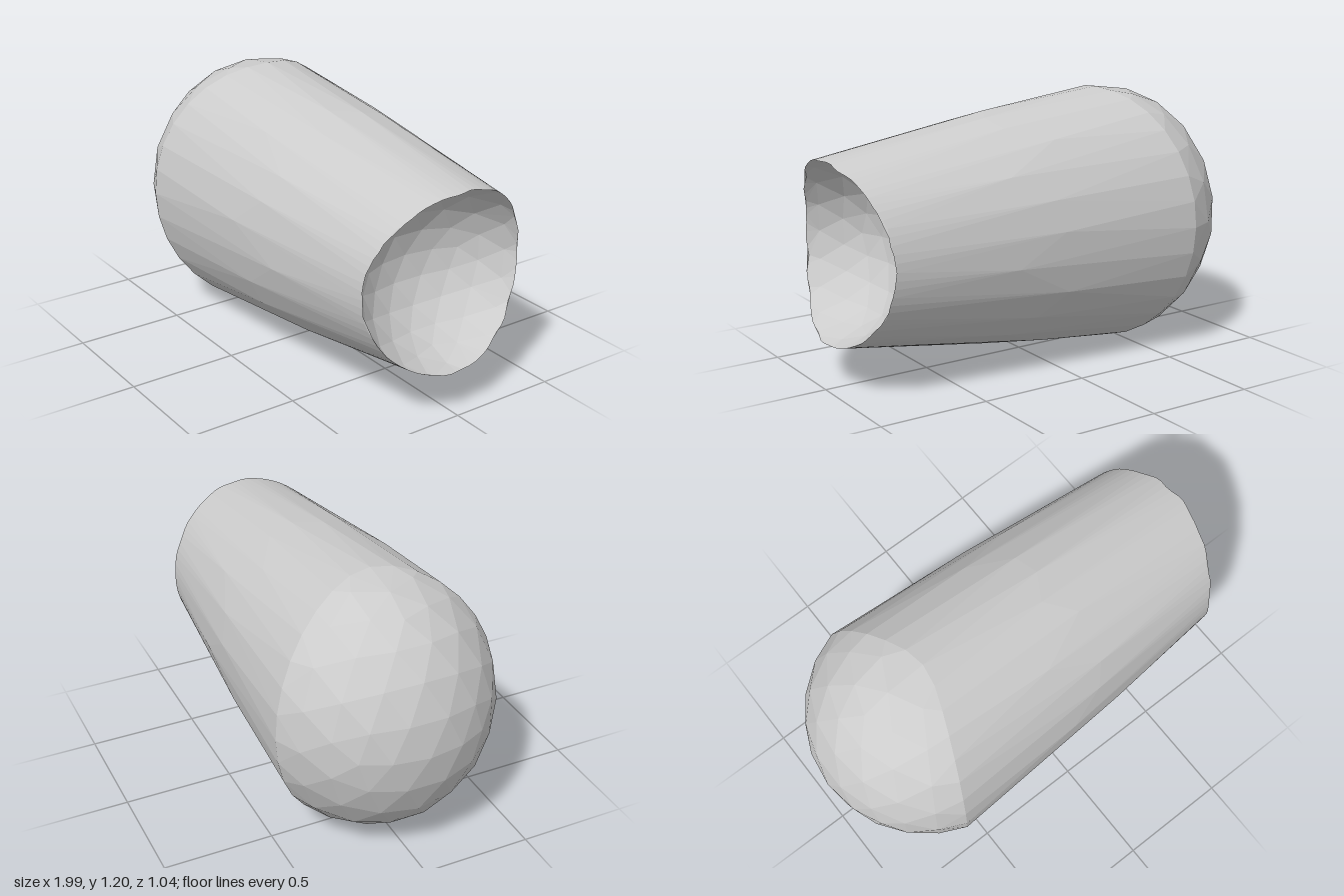
import * as THREE from 'three';
import { ConvexGeometry } from 'three/addons/geometries/ConvexGeometry.js';

const MID = 0.6; // height of the long axis
const DOME = { x: -0.45, r: [0.55, 0.6, 0.547] };
const SCOOP = { x: 1.04, r: [0.42, 0.405, 0.454] };

// Half height and half depth of the gently bowed, tapering wall at x
const wallY = (x) => { const t = 0.99 - x; return 0.4 + 0.1855 * t - 0.0315 * t * t; };
const wallZ = (x) => { const t = 0.87 - x; return 0.415 + 0.105 * t - 0.023 * t * t; };
const wallPoint = (x, a) => new THREE.Vector3(x, wallY(x) * Math.cos(a), wallZ(x) * Math.sin(a));
const insideWall = (p, k) => Math.hypot(p.y / wallY(p.x), p.z / wallZ(p.x)) < k;

const level = (e, p) => ((p.x - e.x) / e.r[0]) ** 2 + (p.y / e.r[1]) ** 2 + (p.z / e.r[2]) ** 2 - 1;

// Ring where the wall enters an ellipsoid, found by bisection along x
function meetingRing(e, lo0, hi0, count, ripple = 0) {
  const ring = [];
  for (let i = 0; i < count; i++) {
    const a = (i / count) * Math.PI * 2;
    let lo = lo0, hi = hi0;
    for (let k = 0; k < 30; k++) {
      const m = (lo + hi) / 2;
      if (level(e, wallPoint(m, a)) > 0) lo = m; else hi = m;
    }
    const wave = ripple * (Math.sin(a * 13) + 0.6 * Math.sin(a * 19 + 1));
    ring.push(wallPoint(lo + wave, a));
  }
  return ring;
}

// Vertices of a faceted ellipsoid
function ellipsoidPoints(e) {
  const pos = new THREE.IcosahedronGeometry(1, 3).attributes.position;
  const pts = [];
  for (let i = 0; i < pos.count; i++) {
    pts.push(new THREE.Vector3().fromBufferAttribute(pos, i)
      .multiply(new THREE.Vector3(...e.r)).add(new THREE.Vector3(e.x, 0, 0)));
  }
  return pts;
}

// Convex skin over the points, left open towards +x
function openSkin(points, maxNx) {
  const src = new ConvexGeometry(points);
  const p = src.attributes.position, n = src.attributes.normal, out = [];
  for (let i = 0; i < p.count; i += 3) {
    if (n.getX(i) > maxNx) continue;
    for (let k = i; k < i + 3; k++) out.push(p.getX(k), p.getY(k), p.getZ(k));
  }
  const geo = new THREE.BufferGeometry();
  geo.setAttribute('position', new THREE.Float32BufferAttribute(out, 3));
  geo.computeVertexNormals();
  return geo;
}

export function createModel() {
  const group = new THREE.Group();
  const material = new THREE.MeshStandardMaterial({
    color: 0xcccccc, flatShading: true, side: THREE.DoubleSide,
  });
  const add = (name, geo) => {
    const mesh = new THREE.Mesh(geo, material);
    mesh.name = name;
    mesh.position.y = MID;
    group.add(mesh);
  };

  const rim = meetingRing(SCOOP, 0.7, 1.03, 72, 0.005);

  // Domed end and tapering wall
  const seam = meetingRing(DOME, -1, -0.43, 32);
  const middle = [];
  for (let i = 0; i < 24; i++) middle.push(wallPoint(0.15 + 0.15 * Math.sin(i * 2.3), (i + 0.5) / 24 * Math.PI * 2));
  const domePts = ellipsoidPoints(DOME).filter((p) => p.x < -0.43 && insideWall(p, 0.99));
  add('domedBody', openSkin([...domePts, ...seam, ...middle, ...rim], 0.5));

  // Hollow bowl scooped into the narrow end
  const bowlPts = ellipsoidPoints(SCOOP).filter((p) => p.x < 0.98 && insideWall(p, 0.97));
  add('scoopedHollow', openSkin([...bowlPts, ...rim], 0.35));

  return group;
}
